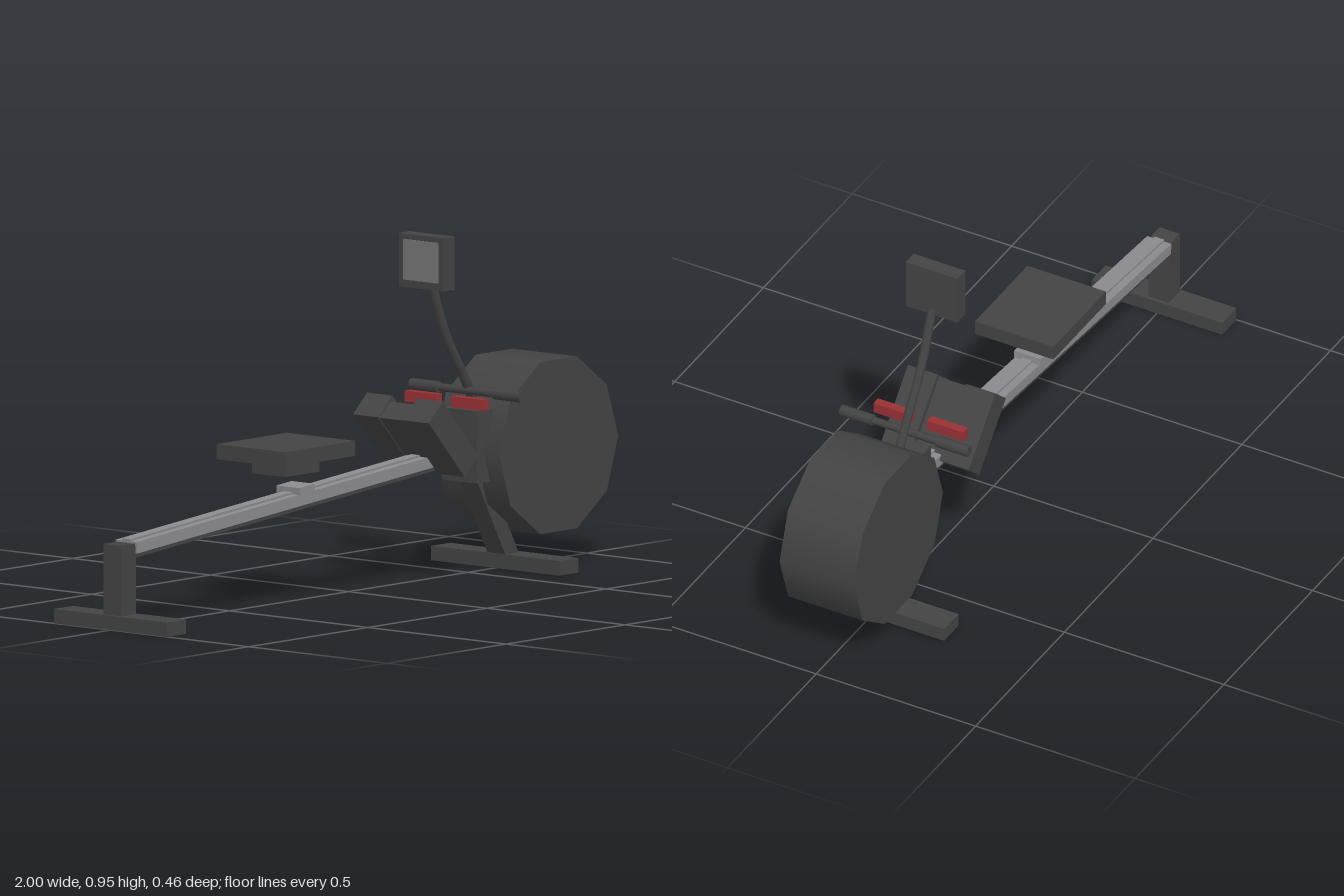
import * as THREE from 'three';

const paint = (name, color) => {
  const m = new THREE.MeshStandardMaterial({ color });
  m.name = name;
  return m;
};

export function createModel() {
  const dark = paint('charcoal', 0x434343);
  const metal = paint('rail grey', 0x8b8a8e);
  const glass = paint('screen grey', 0x747474);
  const red = paint('red', 0x983034);
  const model = new THREE.Group();
  model.name = 'rowingMachine';

  const add = (name, geometry, material, x, y, z = 0, tilt = 0, parent = model) => {
    const mesh = new THREE.Mesh(geometry, material);
    mesh.name = name;
    mesh.position.set(x, y, z);
    mesh.rotation.z = tilt;
    parent.add(mesh);
    return mesh;
  };
  const box = (name, size, material, x, y, z, tilt, parent) =>
    add(name, new THREE.BoxGeometry(...size), material, x, y, z, tilt, parent);

  // Rear stand
  box('rearFoot', [0.08, 0.04, 0.41], dark, -0.96, 0.02);
  box('rearPost', [0.062, 0.2, 0.064], dark, -0.961, 0.135);

  // Sloping rail: grey body, raised centre track, dark underside
  const rail = new THREE.Group();
  rail.name = 'rail';
  rail.position.set(-0.215, 0.282, 0);
  rail.rotation.z = 0.0848;
  model.add(rail);
  box('railBody', [1.44, 0.032, 0.076], metal, 0, 0.003, 0, 0, rail);
  box('railTrack', [1.44, 0.006, 0.03], metal, 0, 0.022, 0, 0, rail);
  box('railUnderside', [1.44, 0.012, 0.07], dark, 0, -0.018, 0, 0, rail);

  // Seat and its carriage
  box('seat', [0.296, 0.042, 0.246], dark, -0.264, 0.42);
  box('seatBlock', [0.146, 0.042, 0.12], dark, -0.264, 0.379);
  box('seatCarriage', [0.064, 0.024, 0.084], metal, -0.222, 0.308, 0, 0.0848);

  // Tilted footrest: two pads joined by a slightly thinner bridge
  const footrest = new THREE.Group();
  footrest.name = 'footrest';
  footrest.position.set(0.282, 0.404, 0);
  footrest.rotation.z = -0.83;
  model.add(footrest);
  for (const s of [1, -1]) box('footPad', [0.223, 0.08, 0.092], dark, 0, 0, s * 0.091, 0, footrest);
  box('footBridge', [0.215, 0.06, 0.092], dark, 0, -0.008, 0, 0, footrest);

  // Flywheel housing: ten flat-edged sides, smooth round the rim
  const drum = new THREE.CylinderGeometry(0.25, 0.25, 0.234, 10);
  drum.rotateY(Math.PI / 2).rotateX(Math.PI / 2);
  add('flywheelHousing', drum, dark, 0.746, 0.336);
  box('housingBracket', [0.066, 0.2, 0.124], dark, 0.498, 0.355);

  // Front stand
  box('frontFoot', [0.08, 0.04, 0.464], dark, 0.655, 0.02);
  box('frontLeg', [0.05, 0.27, 0.064], dark, 0.59, 0.146, 0, 0.5);

  // Bent monitor arm
  const points = [[0.545, 0.435], [0.495, 0.525], [0.405, 0.67], [0.345, 0.825]];
  const arm = new THREE.CatmullRomCurve3(points.map(([x, y]) => new THREE.Vector3(x, y, 0)));
  add('monitorArm', new THREE.TubeGeometry(arm, 12, 0.0135, 8), dark, 0, 0);

  // Monitor with its screen facing the seat
  box('monitor', [0.045, 0.148, 0.162], dark, 0.327, 0.879);
  box('screen', [0.004, 0.112, 0.126], glass, 0.303, 0.882);

  // Pull handle: slim bar with thicker grips
  const bar = (r, length) => new THREE.CylinderGeometry(r, r, length, 8).rotateX(Math.PI / 2);
  add('handleBar', bar(0.011, 0.3), dark, 0.497, 0.504);
  for (const s of [1, -1]) {
    add('handleGrip', bar(0.016, 0.1), dark, 0.497, 0.504, s * 0.15);
    box('redGrip', [0.026, 0.03, 0.114], red, 0.411, 0.486, s * 0.084);
  }
  return model;
}
